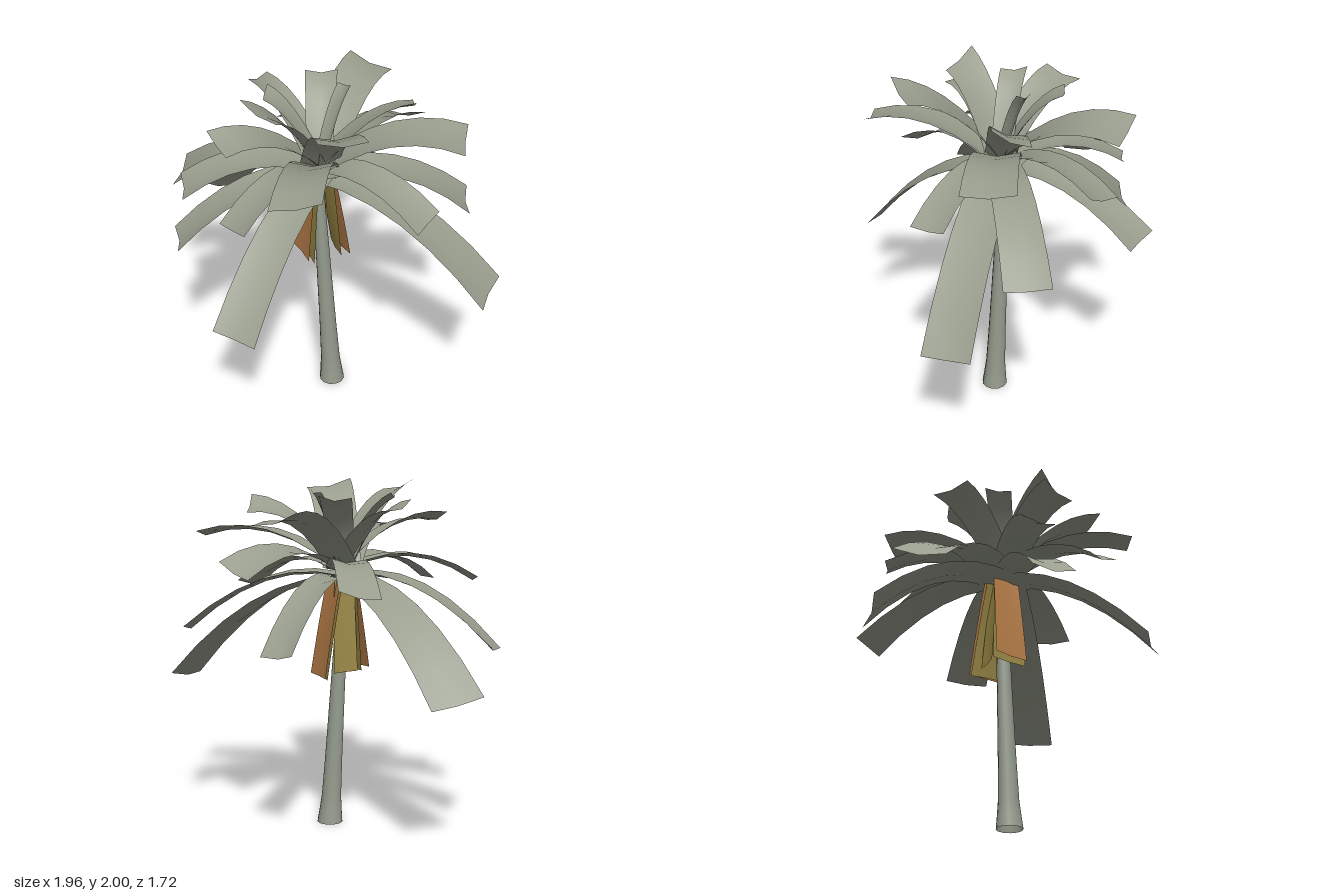
import * as THREE from 'three';

const leafGreen = new THREE.MeshStandardMaterial({ color: 0x989d8d, side: THREE.DoubleSide });
const barkGrey = new THREE.MeshStandardMaterial({ color: 0x969c8e, side: THREE.DoubleSide });
const dryBrown = new THREE.MeshStandardMaterial({ color: 0xb27a46, side: THREE.DoubleSide });
const dryOlive = new THREE.MeshStandardMaterial({ color: 0x978543, side: THREE.DoubleSide });
leafGreen.name = 'leafGreen';
barkGrey.name = 'barkGrey';
dryBrown.name = 'dryBrown';
dryOlive.name = 'dryOlive';

// Each frond is given by the two corners of its tip: x, y, z, x, y, z
const lowerFronds = [
  [0.98, 0.85, -0.04, 0.91, 0.81, 0.24],
  [0.74, 1.20, -0.42, 0.78, 1.17, -0.17],
  [-0.48, 0.91, 0.79, -0.24, 0.88, 0.86],
  [-0.84, 1.14, 0.20, -0.76, 1.13, 0.42],
  [-0.97, 1.18, -0.51, -0.98, 1.13, -0.23],
  [-0.95, 0.94, -0.59, -0.70, 0.87, -0.69],
  [-0.02, 1.15, -0.86, 0.18, 1.12, -0.76],
];
const middleFronds = [
  [0.63, 1.39, 0.17, 0.54, 1.36, 0.37],
  [-0.49, 1.40, 0.50, -0.32, 1.44, 0.65],
  [-0.80, 1.46, 0.14, -0.73, 1.43, 0.36],
  [-0.43, 1.42, -0.64, -0.21, 1.46, -0.67],
  [0.27, 1.50, -0.68, 0.47, 1.58, -0.56],
  [0.73, 1.71, -0.23, 0.74, 1.68, 0.06],
  [-0.17, 1.68, 0.75, 0.10, 1.74, 0.73],
];
const upperFronds = [
  [0.42, 1.82, -0.25, 0.46, 1.91, -0.05],
  [0.05, 1.98, 0.58, 0.28, 1.93, 0.43],
  [-0.42, 2.00, 0.24, -0.21, 1.93, 0.34],
  [0.00, 1.85, -0.73, 0.25, 1.78, -0.67],
  [-0.42, 1.85, -0.38, -0.48, 1.90, -0.18],
  [-0.19, 1.91, -0.32, -0.01, 1.92, -0.34],
  [-0.60, 1.81, 0.26, -0.46, 1.75, 0.41],
  [-0.35, 1.93, -0.09, -0.34, 1.91, 0.06],
  [0.02, 1.93, -0.17, 0.10, 1.95, -0.11],
];
// Dead leaves hanging against the trunk
const brownLeaves = [
  [0.12, 0.90, -0.04, -0.01, 0.90, -0.20],
  [-0.22, 0.95, -0.03, -0.09, 0.94, 0.13],
];
const oliveLeaves = [
  [0.07, 0.89, -0.03, -0.02, 0.89, -0.19],
  [-0.18, 0.93, -0.05, -0.06, 0.92, 0.12],
  [-0.16, 0.93, -0.06, -0.04, 0.92, -0.13],
];

// Arched strip with a shallow crease along its middle; it starts `gap` out from the trunk's axis
function frondGeometry(tip, axis, gap, arch, crease) {
  const a = new THREE.Vector3(tip[0], tip[1], tip[2]);
  const b = new THREE.Vector3(tip[3], tip[4], tip[5]);
  const end = a.clone().add(b).multiplyScalar(0.5);
  const outward = end.clone().sub(axis).setY(0).normalize();
  const base = axis.clone().addScaledVector(outward, gap);
  const run = end.clone().sub(base);
  const tipSide = b.sub(a).multiplyScalar(0.5);
  const lift = arch * (0.04 + 0.1 * Math.hypot(run.x, run.z));
  // Level direction across the root, on the same side as the tip
  const rootSide = new THREE.Vector3(-outward.z, 0, outward.x).setLength(0.8 * tipSide.length());
  if (rootSide.dot(tipSide) < 0) rootSide.negate();

  const positions = [], index = [], steps = 6;
  for (let i = 0; i <= steps; i++) {
    const t = i / steps;
    const p = base.clone().addScaledVector(run, t);
    p.y += 4 * lift * t * (1 - t);
    const tangent = run.clone();
    tangent.y += 4 * lift * (1 - 2 * t);
    const side = rootSide.clone().lerp(tipSide, t);
    const down = tangent.cross(side).normalize();
    if (down.y > 0) down.negate();
    const middle = p.clone().addScaledVector(down, crease);
    for (const q of [p.clone().sub(side), middle, p.clone().add(side)]) positions.push(q.x, q.y, q.z);
    if (i === steps) break;
    for (let j = 0; j < 2; j++) {
      const k = i * 3 + j;
      index.push(k, k + 1, k + 3, k + 1, k + 4, k + 3);
    }
  }
  // Turn the front of the strip upward
  const g = new THREE.BufferGeometry();
  g.setAttribute('position', new THREE.Float32BufferAttribute(positions, 3));
  g.setIndex(index);
  g.computeVertexNormals();
  if (g.attributes.normal.getY(10) < 0) {
    g.setIndex(index.reverse());
    g.computeVertexNormals();
  }
  return g;
}

function addLeaves(parent, name, tips, material, axis, gap, arch, crease) {
  const tier = new THREE.Group();
  tier.name = name + 's';
  for (const tip of tips) {
    const leaf = new THREE.Mesh(frondGeometry(tip, axis, gap, arch, crease), material);
    leaf.name = name;
    tier.add(leaf);
  }
  parent.add(tier);
}

export function createModel() {
  const palm = new THREE.Group();
  palm.name = 'palmTree';

  // Leaning trunk with a flared foot, open underneath
  const profile = [
    [0.075, 0], [0.068, 0.06], [0.058, 0.16], [0.051, 0.4],
    [0.043, 0.8], [0.036, 1.2], [0.03, 1.5], [0, 1.5],
  ].map(([r, y]) => new THREE.Vector2(r, y));
  const trunkGeometry = new THREE.LatheGeometry(profile, 12);
  const pos = trunkGeometry.attributes.position;
  for (let i = 0; i < pos.count; i++) {
    const y = pos.getY(i);
    pos.setX(i, pos.getX(i) + 0.025 - 0.065 * y);
    pos.setZ(i, pos.getZ(i) + 0.025 - 0.03 * y);
  }
  const trunk = new THREE.Mesh(trunkGeometry, barkGrey);
  trunk.name = 'trunk';
  palm.add(trunk);

  // Crown, from drooping fronds up to the upright ones
  const crown = (y) => new THREE.Vector3(-0.05, y, 0);
  addLeaves(palm, 'lowerFrond', lowerFronds, leafGreen, crown(1.47), 0, 1, 0.022);
  addLeaves(palm, 'middleFrond', middleFronds, leafGreen, crown(1.5), 0, 1, 0.022);
  addLeaves(palm, 'upperFrond', upperFronds, leafGreen, crown(1.52), 0, 1, 0.022);

  // Dry leaves under the crown, outside the trunk
  const collar = new THREE.Vector3(-0.06, 1.46, -0.015);
  addLeaves(palm, 'brownLeaf', brownLeaves, dryBrown, collar, 0.052, 0.4, 0.008);
  addLeaves(palm, 'oliveLeaf', oliveLeaves, dryOlive, collar, 0.042, 0.3, 0.008);
  return palm;
}
